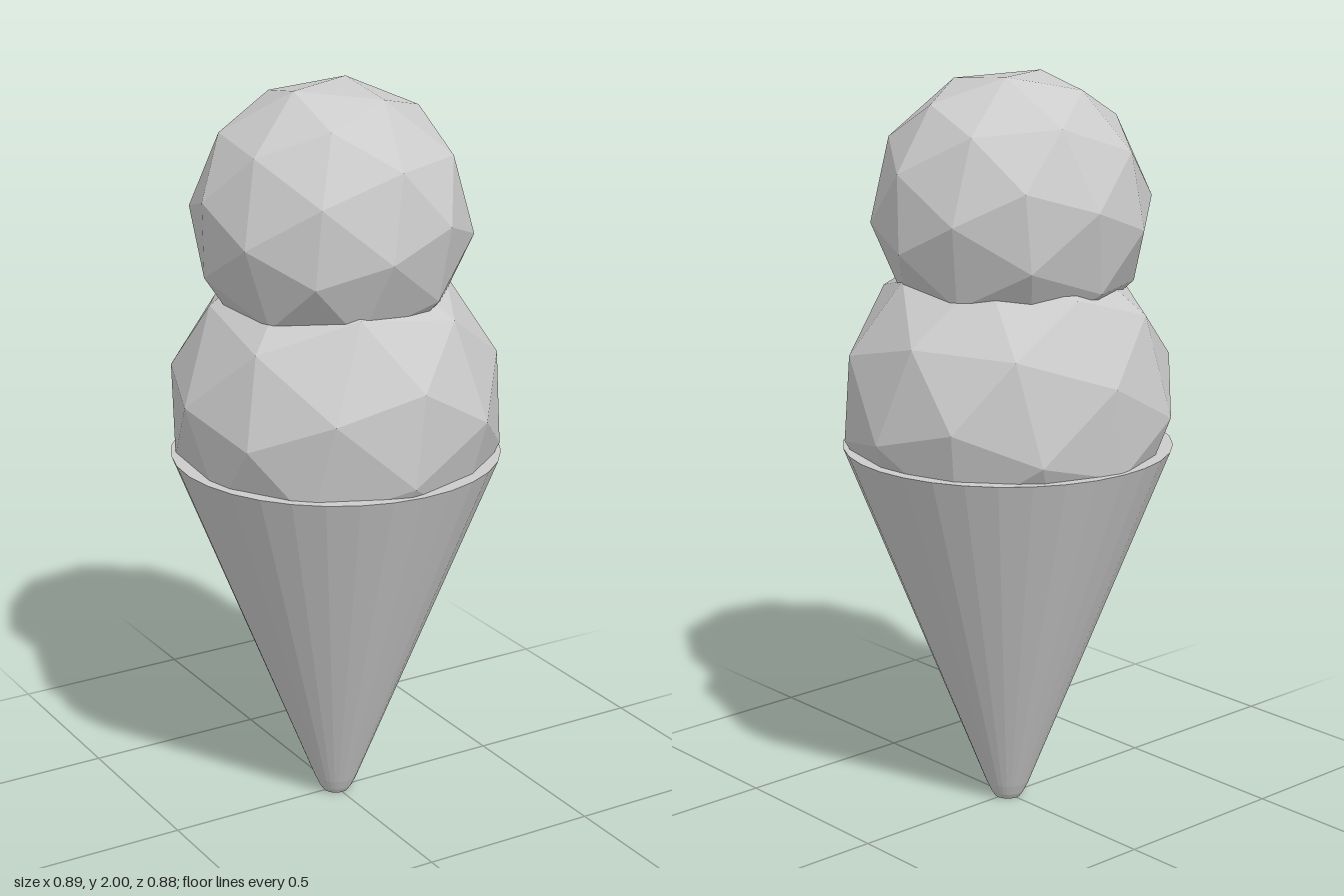
import * as THREE from 'three';

const material = new THREE.MeshStandardMaterial({ color: 0xcccccc, flatShading: true });

// Rotation frame of one icosahedron face: axes from its normal and first corner
function faceFrame(corners) {
  const [a, b, c] = corners.map((p) => new THREE.Vector3(...p).normalize());
  const n = a.clone().add(b).add(c).normalize();
  const u = a.addScaledVector(n, -a.dot(n)).normalize();
  return new THREE.Matrix4().makeBasis(u, n.clone().cross(u), n);
}

// Faceted ball, turned so that one base face points its corners in the given directions
function scoop(name, radius, position, corners) {
  const t = (1 + Math.sqrt(5)) / 2;
  const base = faceFrame([[-1, t, 0], [-t, 0, 1], [0, 1, t]]);
  const turn = faceFrame(corners).multiply(base.transpose());
  const geometry = new THREE.IcosahedronGeometry(radius, 1).applyMatrix4(turn);
  const mesh = new THREE.Mesh(geometry, material);
  mesh.name = name;
  mesh.position.set(...position);
  return mesh;
}

export function createModel() {
  const group = new THREE.Group();
  group.name = 'iceCreamCone';

  // Cone with a blunt tip and a flat top closed under the scoops
  const profile = [[0, 0], [0.036, 0], [0.046, 0.015], [0.06, 0.045], [0.442, 1.015], [0, 1.015]];
  const cone = new THREE.Mesh(
    new THREE.LatheGeometry(profile.map(([r, y]) => new THREE.Vector2(r, y)), 32),
    material
  );
  cone.name = 'cone';
  group.add(cone);

  // Two scoops, the upper one smaller and slightly off centre
  group.add(scoop('lowerScoop', 0.45, [0, 1.14, 0],
    [[0.862, 0, -0.507], [0.638, 0.755, 0.216], [0.831, -0.226, 0.541]]));
  group.add(scoop('upperScoop', 0.372, [-0.014, 1.645, 0],
    [[-0.231, 0.849, -0.476], [-0.327, 0.755, 0.568], [0.624, 0.769, 0.142]]));

  return group;
}
